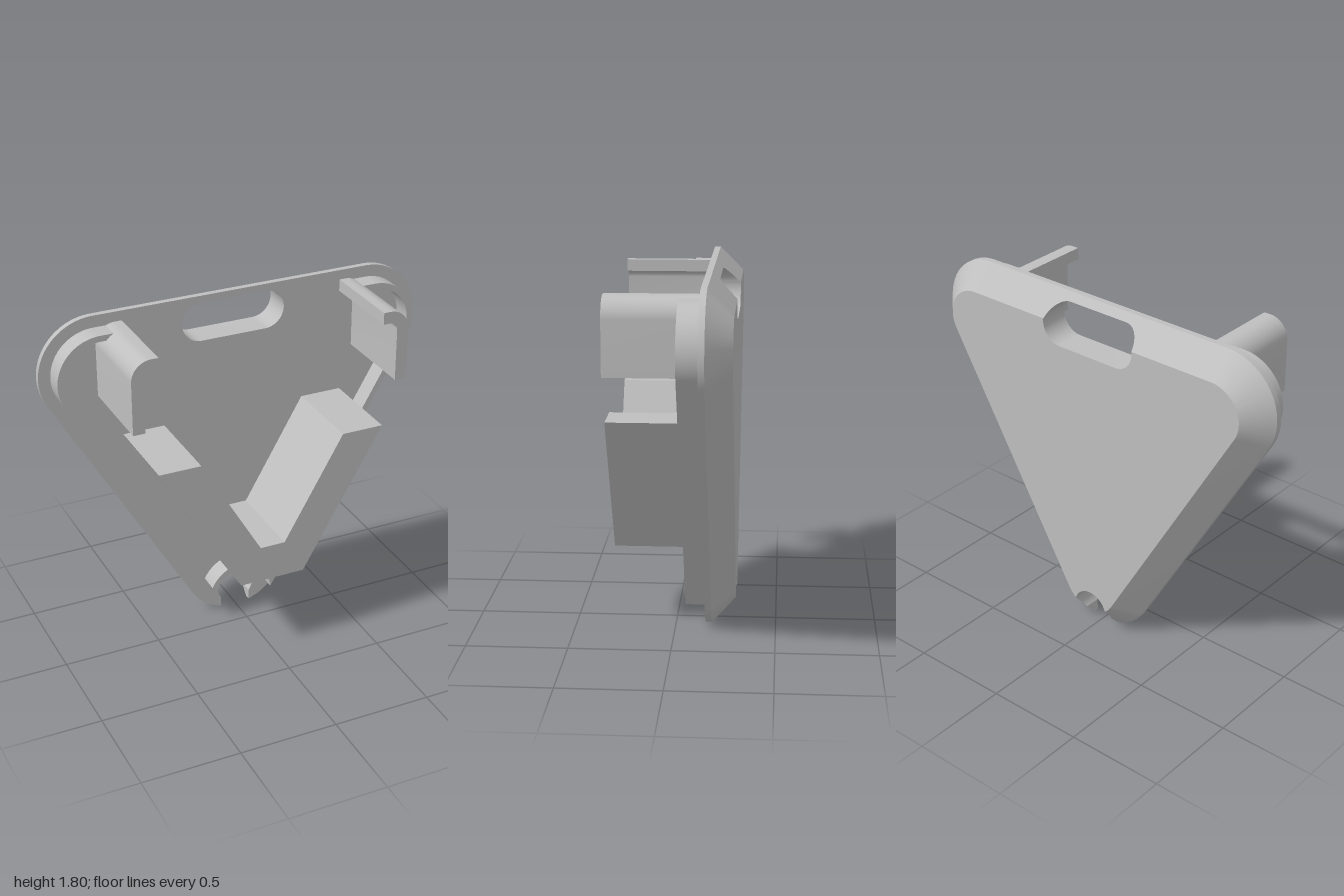
import * as THREE from 'three';
import { toCreasedNormals } from 'three/addons/utils/BufferGeometryUtils.js';

const FRONT = -0.15, RIM = -0.18, CHAMFER = 0.12, R = 0.28;
const TOP = [0.72, 1.52], TIP = [0, 0.273], HOLE = [0, 0.12], SLOT = [0.17, 1.665];

// Points along an arc, angles in degrees
function arc([cx, cy], r, a0, a1, n = 16) {
  return Array.from({ length: n + 1 }, (_, i) => {
    const a = THREE.MathUtils.degToRad(a0 + (a1 - a0) * i / n);
    return [cx + r * Math.cos(a), cy + r * Math.sin(a)];
  });
}
const mirror = pts => pts.map(([x, y]) => [-x, y]).reverse();
const both = pts => [...pts, ...mirror(pts)];
const same = (p, q) => Math.hypot(p[0] - q[0], p[1] - q[1]) < 1e-5;

function toShape(pts) {
  const clean = pts.filter((p, i) => !same(p, pts[(i + 1) % pts.length]));
  return new THREE.Shape(clean.map(p => new THREE.Vector2(...p)));
}

// Depth of the back surface at a point on the tip hole or the hand slot
function backZ(x, y) {
  const inset = Math.min(1.8 - y, y < 0.27 ? R - Math.hypot(x, y - TIP[1]) : 1);
  return RIM - THREE.MathUtils.clamp(inset, 0, CHAMFER);
}

// Flat or sloped sheet facing the front or the back
function sheet(shape, zAt, facesBack) {
  const g = new THREE.ShapeGeometry(shape);
  const p = g.attributes.position;
  for (let i = 0; i < p.count; i++) p.setZ(i, zAt(p.getX(i), p.getY(i)));
  if (facesBack) g.index.array.reverse();
  const flat = g.toNonIndexed();
  flat.computeVertexNormals();
  return flat;
}

// Strip of quads between two paths of 3D points
function ribbon(a, b) {
  const pos = [];
  for (let i = 0; i < a.length - 1; i++) {
    if (same(a[i], a[i + 1])) continue;
    pos.push(...a[i], ...b[i], ...b[i + 1], ...a[i], ...b[i + 1], ...a[i + 1]);
  }
  const g = new THREE.BufferGeometry();
  g.setAttribute('position', new THREE.Float32BufferAttribute(pos, 3));
  return toCreasedNormals(g, 0.5);
}
const wall = (pts, zAt) => ribbon(pts.map(([x, y]) => [x, y, FRONT]), pts.map(([x, y]) => [x, y, zAt(x, y)]));

function extrude(pts, z1) {
  const g = new THREE.ExtrudeGeometry(toShape(pts), { depth: z1 - FRONT, bevelEnabled: false });
  g.translate(0, 0, FRONT);
  return toCreasedNormals(g, 0.5);
}

export function createModel() {
  const model = new THREE.Group();
  const grey = new THREE.MeshStandardMaterial({ color: 0xbfbfbf, side: THREE.DoubleSide });
  grey.name = 'grey';
  const add = (name, geometry, parent = model) => {
    const m = new THREE.Mesh(geometry, grey);
    m.name = name;
    parent.add(m);
  };

  const plate = new THREE.Group();
  plate.name = 'plate';
  model.add(plate);

  // Right half of the rounded triangle, from the tip opening to the top edge
  const half = r => [...arc(TIP, r, -73.4, -52.82), ...arc(TIP, r, -52.82, -30, 8), ...arc(TOP, r, -30, 90, 32)];
  const outer = half(R), inner = half(R - CHAMFER);

  // Keyhole opening at the tip, right foot over the top to the left foot
  const neck = Array.from({ length: 7 }, (_, i) => [0.08, 0.005 + 0.055 * i / 6]);
  const holeTop = arc(HOLE, 0.1, 14.8, 165.2, 32);
  const keyhole = [...neck, ...arc(HOLE, 0.1, -36.87, 14.8, 12), ...holeTop,
    ...arc(HOLE, 0.1, 165.2, 216.87, 12), ...mirror(neck)];

  // Hand slot, split where it crosses the edge of the back face
  const slotUpper = both(arc(SLOT, 0.1, 8.63, 90));
  const slotLower = both(arc(SLOT, 0.1, 8.63, -90));
  const slot = [...slotUpper, ...slotLower.slice().reverse()];

  const frontShape = toShape([...both(outer), ...keyhole.slice().reverse()]);
  frontShape.holes.push(toShape(slot));
  add('frontFace', sheet(frontShape, () => FRONT, false), plate);

  const flatInner = inner.slice(17);
  const backShape = toShape([...flatInner, ...slotLower, ...mirror(flatInner), ...holeTop.slice().reverse()]);
  add('backFace', sheet(backShape, () => RIM - CHAMFER, true), plate);
  add('rim', wall(both(outer), () => RIM), plate);
  add('tipOpening', wall(keyhole.slice().reverse(), backZ), plate);
  add('handSlot', wall([...slot, slot[0]].reverse(), backZ), plate);

  // Chamfer: rulings run inwards and stop early where they meet the keyhole
  const inHole = (x, y) => Math.hypot(x, y - HOLE[1]) < 0.0999 || (x < 0.0799 && y < 0.06);
  const edge = outer.map(([x, y]) => [x, y, RIM]);
  const ends = outer.map(([x, y], i) => {
    let t = 1;
    const at = s => [x + (inner[i][0] - x) * s, y + (inner[i][1] - y) * s];
    if (i < 16) for (t = 0; t < 1 && !inHole(...at(t)); t += 0.005);
    t = Math.min(t, 1);
    return [...at(t), RIM - CHAMFER * t];
  });
  const flip = pts => pts.map(([x, y, z]) => [-x, y, z]).reverse();
  add('leftChamfer', ribbon(edge, ends), plate);
  add('rightChamfer', ribbon(flip(edge), flip(ends)), plate);
  const topStrip = toShape([[0.72, 1.68], [0.72, 1.8], [-0.72, 1.8], [-0.72, 1.68], ...slotUpper.slice().reverse()]);
  add('topChamfer', sheet(topStrip, backZ, true), plate);

  // Thin raised lip running round the sides and over the keyhole
  const lipOut = [[0.655, 1.74], ...arc(TOP, 0.22, 90, -30, 32), ...arc(HOLE, 0.16, 1, 90, 20)];
  const lipIn = [[0.66, 1.71], ...arc(TOP, 0.19, 90, -30, 32), ...arc(HOLE, 0.19, 25, 90, 16)];
  add('lip', extrude([...both(lipOut), ...both(lipIn).reverse()], -0.05));

  // V-shaped support block
  add('supportBlock', extrude(both([[0.065, 0.615], [0.375, 1.15], [0.59, 1.15], [0.17, 0.425]]
    .reverse()), 0.3));

  // Hooked brackets in the upper corners
  const bracket = [[0.575, 1.75], [0.575, 1.69], ...arc([0.61, 1.65], 0.04, 90, 0, 8),
    [0.65, 1.385], [0.71, 1.385], ...arc([0.61, 1.65], 0.1, 0, 90, 16)];
  add('leftBracket', extrude(bracket, 0.3));
  add('rightBracket', extrude(mirror(bracket), 0.3));

  return model;
}
